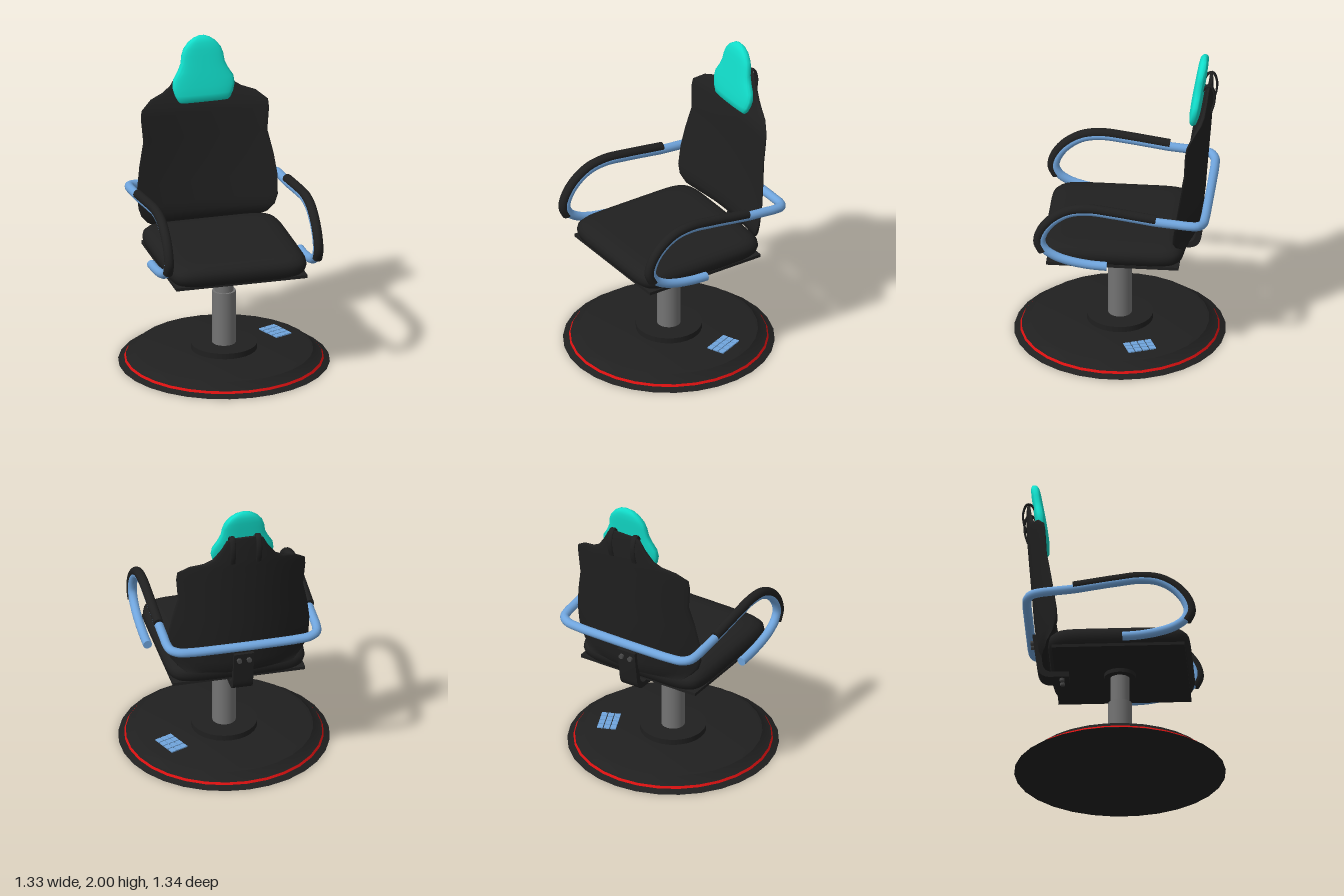
import * as THREE from 'three';
import { mergeGeometries, toCreasedNormals } from 'three/addons/utils/BufferGeometryUtils.js';

const mat = (name, color) => Object.assign(new THREE.MeshStandardMaterial({ color }), { name });
const V = (x, y, z) => new THREE.Vector3(x, y, z);
const spow = (v, p) => Math.sign(v) * Math.abs(v) ** p;

// Skin over stacked rings; section(row, t) gives [x, z], with t = 0 at the front
function loft(rows, section, n = 48, crease = 0.7) {
  const pos = [], idx = [];
  for (const row of rows)
    for (let i = 0; i < n; i++) {
      const [x, z] = section(row, (i / n) * Math.PI * 2);
      pos.push(x, row[0], z);
    }
  for (let r = 0; r < rows.length - 1; r++)
    for (let i = 0; i < n; i++) {
      const a = r * n + i, b = r * n + ((i + 1) % n);
      idx.push(a, b, b + n, a, b + n, a + n);
    }
  // end caps: strips joining front points to the back points behind them
  const top = (rows.length - 1) * n;
  for (let i = -n / 4; i < n / 4; i++) {
    const [a, b, c, d] = [i, i + 1, n / 2 - i - 1, n / 2 - i].map((k) => (k + n) % n);
    idx.push(top + a, top + b, top + c, top + a, top + c, top + d);
    idx.push(a, c, b, a, d, c);
  }
  const g = new THREE.BufferGeometry();
  g.setAttribute('position', new THREE.Float32BufferAttribute(pos, 3));
  g.setIndex(idx);
  return toCreasedNormals(g, crease);
}

// Round bar with closed ends
function bar(points, radius, segments) {
  const curve = new THREE.CatmullRomCurve3(points, false, 'centripetal');
  const parts = [new THREE.TubeGeometry(curve, segments, radius, 14)];
  for (const [u, s] of [[0, -1], [1, 1]]) {
    const cap = new THREE.CircleGeometry(radius, 14);
    const dir = curve.getTangentAt(u).multiplyScalar(s);
    cap.applyQuaternion(new THREE.Quaternion().setFromUnitVectors(V(0, 0, 1), dir));
    const p = curve.getPointAt(u);
    parts.push(cap.translate(p.x, p.y, p.z));
  }
  return mergeGeometries(parts);
}

const lathe = (pts) =>
  toCreasedNormals(new THREE.LatheGeometry(pts.map((p) => new THREE.Vector2(...p)), 30), 0.35);

export function createModel() {
  const model = new THREE.Group();
  model.name = 'swivelChair';
  const black = mat('blackUpholstery', 0x202020);
  const grey = mat('greyMetal', 0x747474);
  const blue = mat('blueTube', 0x70a5dd);
  const teal = mat('tealCushion', 0x11decb);
  const red = mat('redTrim', 0xd81010);
  const steel = mat('darkBolt', 0x484848);

  const add = (name, geometry, material, x = 0, y = 0, z = 0, parent = model) => {
    const m = new THREE.Mesh(geometry, material);
    m.name = name;
    m.position.set(x, y, z);
    parent.add(m);
    return m;
  };
  const cyl = (name, r, y0, y1, material) =>
    add(name, new THREE.CylinderGeometry(r, r, y1 - y0, 28), material, 0, (y0 + y1) / 2, 0);

  // Round base with a red ring
  add('baseRim', lathe([[0, 0], [0.67, 0], [0.632, 0.02]]), black);
  add('baseRing', lathe([[0.632, 0.02], [0.622, 0.034]]), red);
  add('baseTop', lathe([[0.622, 0.034], [0.6, 0.045], [0.565, 0.078], [0.54, 0.084], [0, 0.086]]), black);
  cyl('baseCollar', 0.21, 0.08, 0.122, black);

  // Patch of small blue tiles on the base
  const patch = new THREE.Group();
  patch.name = 'basePatch';
  patch.position.set(0.38, 0.089, -0.16);
  patch.rotation.y = 0.39;
  for (let i = 0; i < 3; i++)
    for (let j = 0; j < 4; j++)
      add('patchTile', new THREE.BoxGeometry(0.036, 0.008, 0.04), blue, (i - 1) * 0.042, 0, (j - 1.5) * 0.047, patch);
  model.add(patch);

  // Telescopic column
  cyl('columnLower', 0.075, 0.12, 0.475, grey);
  cyl('columnUpper', 0.061, 0.47, 0.65, grey);
  cyl('columnMount', 0.1, 0.652, 0.68, black);

  // Seat cushion
  add('seatPlate', new THREE.BoxGeometry(0.86, 0.02, 0.84), black, 0, 0.688, 0.01);
  const seatRows = [[0.69, 0.42], [0.715, 0.442], [0.75, 0.452], [0.78, 0.447], [0.805, 0.425], [0.818, 0.39], [0.824, 0.33]];
  add('seat', loft(seatRows, ([, w], t) => [
    w * spow(Math.sin(t), 0.27),
    0.01 + w * spow(Math.cos(t), 0.27),
  ], 64), black);

  // Backrest shell: height, half width, front z and back z; sides wrap forward
  const backRows = [
    [0.78, 0.34, -0.46, -0.495], [0.82, 0.395, -0.42, -0.515], [0.87, 0.437, -0.41, -0.522],
    [0.93, 0.457, -0.417, -0.53], [1.06, 0.46, -0.44, -0.545], [1.2, 0.44, -0.458, -0.555],
    [1.35, 0.407, -0.475, -0.567], [1.5, 0.42, -0.487, -0.579], [1.555, 0.415, -0.495, -0.583],
    [1.61, 0.345, -0.52, -0.587], [1.635, 0.26, -0.53, -0.589], [1.67, 0.205, -0.54, -0.59],
    [1.75, 0.15, -0.555, -0.59], [1.81, 0.12, -0.562, -0.59], [1.83, 0.085, -0.57, -0.588],
  ];
  add('backrest', loft(backRows, ([, w, zf, zb], t) => {
    const x = w * spow(Math.sin(t), 0.75), k = (x / 0.45) ** 2;
    const front = zf + 0.05 * k, back = Math.min(zb + 0.13 * k, front - 0.015);
    return [x, (front + back) / 2 + ((front - back) / 2) * spow(Math.cos(t), 0.4)];
  }), black);

  // Head cushion: height, half width, half depth; leans back
  const headRows = [
    [1.577, 0.155, 0.012], [1.59, 0.17, 0.028], [1.63, 0.19, 0.034], [1.68, 0.203, 0.035],
    [1.73, 0.196, 0.035], [1.78, 0.165, 0.034], [1.83, 0.143, 0.033], [1.88, 0.136, 0.032],
    [1.92, 0.122, 0.031], [1.96, 0.09, 0.028], [1.985, 0.055, 0.02], [2, 0.02, 0.006],
  ];
  add('headrest', loft(headRows, ([y, w, d], t) => [
    w * spow(Math.sin(t), 0.7),
    -0.475 - (y - 1.58) * 0.155 + d * spow(Math.cos(t), 0.6),
  ], 48, 1), teal);

  // Headrest straps hooked over the top of the backrest
  const strap = bar([V(0, 1.76, -0.52), V(0, 1.83, -0.555), V(0, 1.835, -0.585), V(0, 1.78, -0.608),
    V(0, 1.71, -0.605), V(0, 1.65, -0.588)], 0.007, 24);
  for (const s of [-1, 1]) add('headrestStrap', strap, black, s * 0.085).scale.x = 2.6;

  // One bent tube forms both arms and the bar behind the backrest
  const side = [[0.04, 0.718], [0.15, 0.725], [0.28, 0.748], [0.37, 0.78], [0.432, 0.825], [0.457, 0.88],
    [0.44, 0.95], [0.38, 1.03], [0.28, 1.093], [0.16, 1.112], [0, 1.095], [-0.15, 1.073], [-0.27, 1.055], [-0.4, 1.043]];
  const half = [...side.map(([z, y]) => V(0.487, y, z)), V(0.486, 1.035, -0.48), V(0.472, 1.028, -0.535),
    V(0.425, 1.02, -0.564), V(0.34, 1.015, -0.571), V(0.15, 1.012, -0.572)];
  const mirrored = half.map((p) => V(-p.x, p.y, p.z)).reverse();
  add('armTube', bar([...half, ...mirrored], 0.029, 220), blue);

  // Arm pads along the outer side of each arm
  const padLine = [];
  for (let i = 4; i <= 12; i++) {
    const tz = side[i + 1][0] - side[i - 1][0], ty = side[i + 1][1] - side[i - 1][1];
    const s = 0.018 / Math.hypot(tz, ty);
    padLine.push([side[i][1] - tz * s, side[i][0] + ty * s]);
  }
  for (const s of [-1, 1])
    add('armPad', bar(padLine.map(([y, z]) => V(s * 0.49, y, z)), 0.031, 60), black);

  // Bent bracket joining seat and backrest
  const shape = new THREE.Shape();
  shape.moveTo(-0.32, 0.643);
  shape.lineTo(-0.44, 0.643);
  shape.quadraticCurveTo(-0.51, 0.643, -0.522, 0.72);
  shape.lineTo(-0.552, 0.94);
  shape.lineTo(-0.51, 0.94);
  shape.lineTo(-0.487, 0.73);
  shape.quadraticCurveTo(-0.475, 0.68, -0.43, 0.68);
  shape.lineTo(-0.32, 0.68);
  const bracket = new THREE.ExtrudeGeometry(shape, { depth: 0.13, bevelEnabled: false, curveSegments: 8 });
  bracket.translate(0, 0, -0.065).rotateY(-Math.PI / 2);
  add('backBracket', toCreasedNormals(bracket, 0.6), black);

  // Bracket bolts
  const bolt = new THREE.CylinderGeometry(0.016, 0.016, 0.025, 12);
  for (const s of [-1, 1]) {
    add('backBolt', bolt, steel, s * 0.032, 0.895, -0.551).rotation.x = Math.PI / 2;
    add('seatBolt', bolt, steel, s * 0.032, 0.638, -0.365);
  }
  return model;
}
